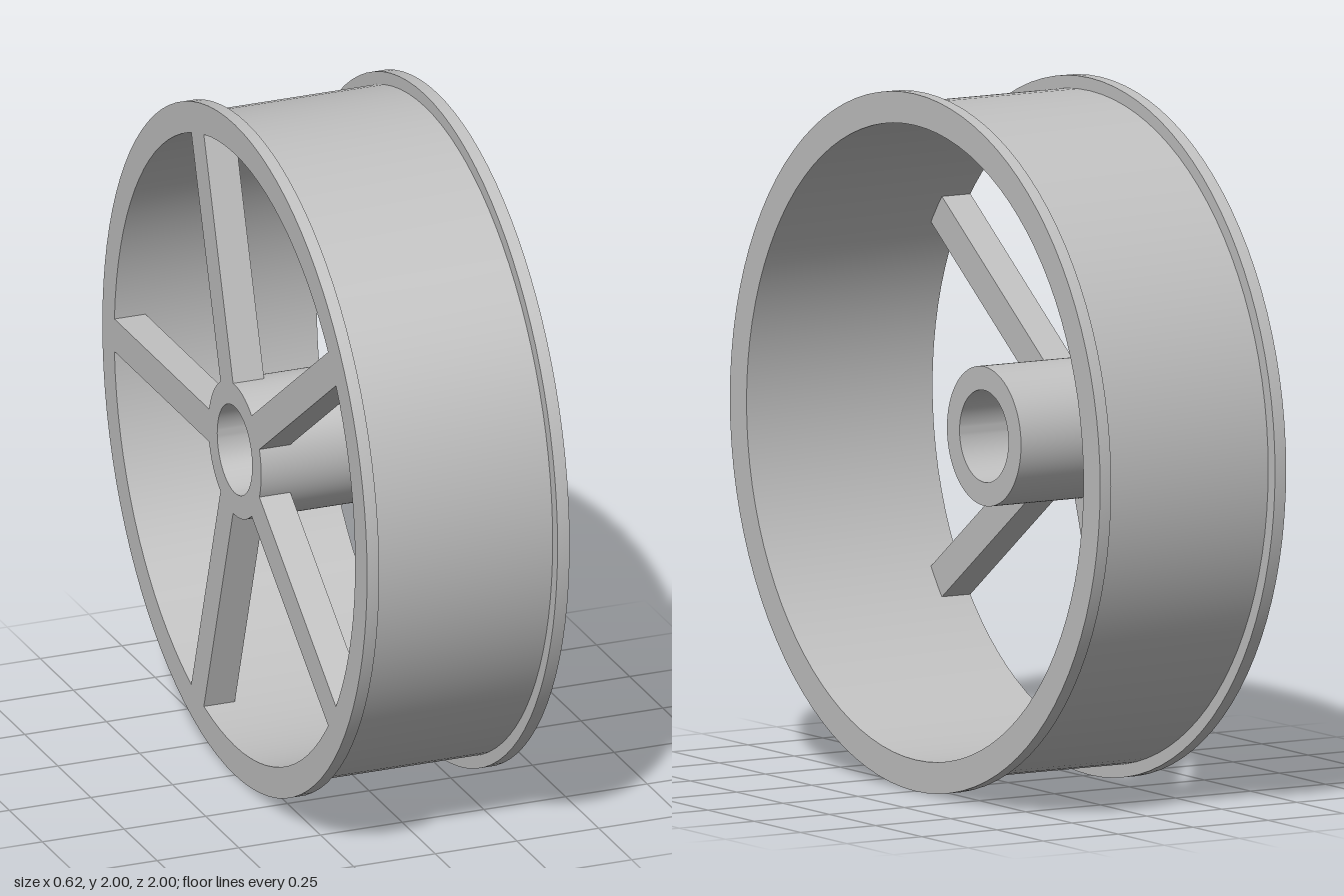
import * as THREE from 'three';
import { toCreasedNormals } from 'three/addons/utils/BufferGeometryUtils.js';

const HALF = 0.31; // half of the wheel's width

// Closed (radius, x) profile turned about the x axis, with sharp edges
function turned(name, profile, material) {
  const points = [...profile, profile[0]].map(([r, x]) => new THREE.Vector2(r, x));
  const geometry = toCreasedNormals(new THREE.LatheGeometry(points, 96), 0.6);
  geometry.rotateZ(-Math.PI / 2);
  const mesh = new THREE.Mesh(geometry, material);
  mesh.name = name;
  return mesh;
}

export function createModel() {
  const metal = new THREE.MeshStandardMaterial({ color: 0xc0c0c0 });
  metal.name = 'greyMetal';

  const wheel = new THREE.Group();
  wheel.name = 'wheel';
  wheel.position.y = 1;

  // Rim: a drum with a narrow flange at each edge
  const flange = HALF - 0.037;
  wheel.add(turned('rim', [
    [0.91, -HALF], [1, -HALF], [1, -flange], [0.963, -flange],
    [0.963, flange], [1, flange], [1, HALF], [0.91, HALF],
  ], metal));

  // Hub: a tube flush with the -x face and ending inside the rim
  wheel.add(turned('hub', [
    [0.132, -HALF], [0.2, -HALF], [0.2, 0.08], [0.132, 0.08],
  ], metal));

  // Five square spokes on the -x face
  const inner = 0.18, outer = 0.912, depth = 0.095;
  const spokeGeometry = new THREE.BoxGeometry(depth, 0.1, outer - inner);
  spokeGeometry.translate(-HALF + depth / 2, 0, -(inner + outer) / 2);
  for (let i = 0; i < 5; i++) {
    const spoke = new THREE.Mesh(spokeGeometry, metal);
    spoke.name = 'spoke' + (i + 1);
    spoke.rotation.x = (i * Math.PI * 2) / 5;
    wheel.add(spoke);
  }

  const model = new THREE.Group();
  model.name = 'spokedWheel';
  model.add(wheel);
  return model;
}
